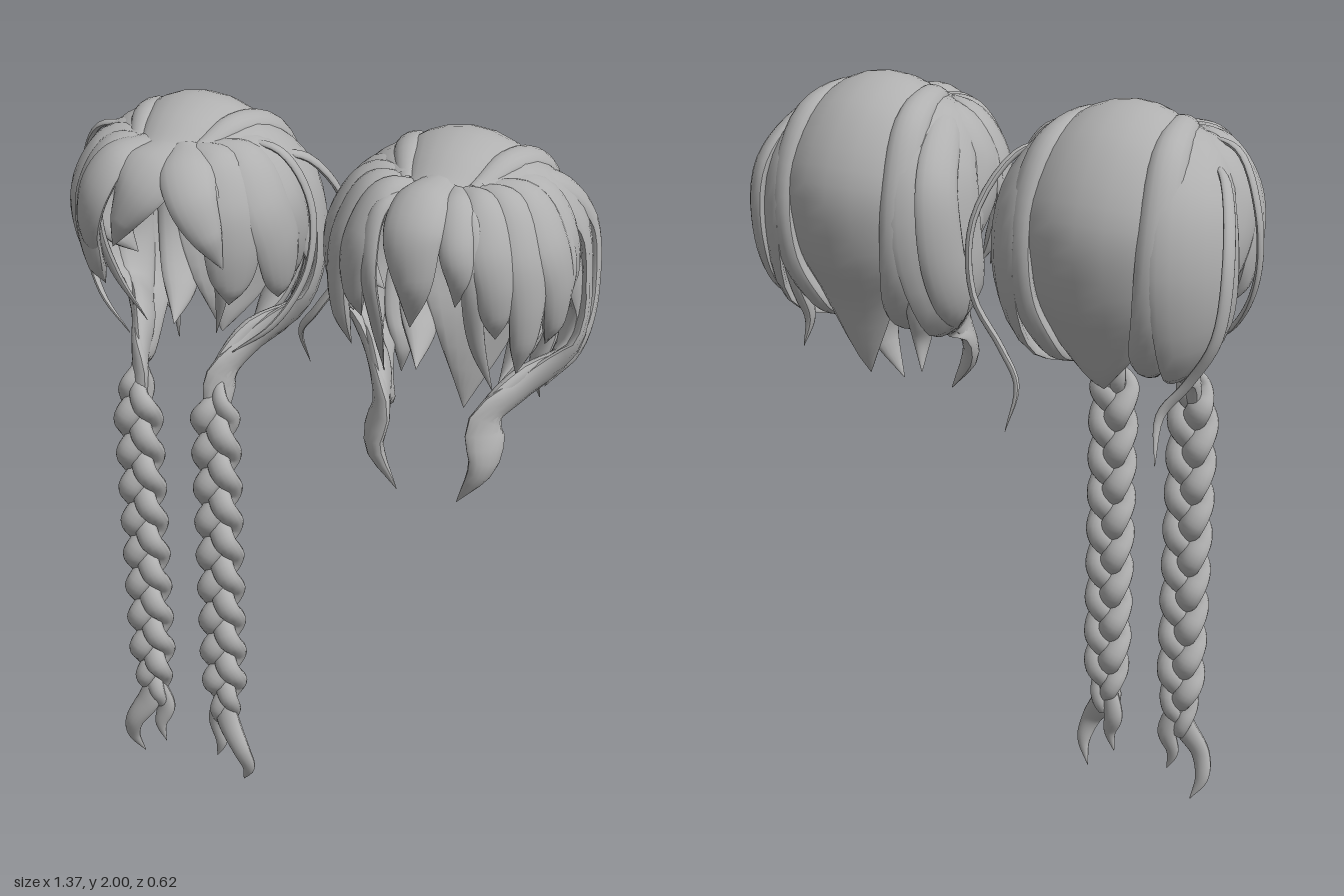
import * as THREE from 'three';

const hairMat = new THREE.MeshStandardMaterial({ color: 0xb0b0b0, side: THREE.DoubleSide });
hairMat.name = 'grey hair';

const V = (p) => new THREE.Vector3(...p);
const mirror = (pts) => pts.map(([x, y, z]) => [-x, y, z]);

// Tapered lock with a lens section, bent round the head, crisp along both edges
function lock(name, pts, widths, { thick = 0.022, round = 0, out = null, segs = 30 } = {}) {
  const path = new THREE.CatmullRomCurve3(pts.map(V));
  const width = new THREE.CatmullRomCurve3(widths.map((w, i) => new THREE.Vector3(w, i, 0)));
  const M = 8, pos = [], index = [];
  const up = new THREE.Vector3(), side = new THREE.Vector3(), n = new THREE.Vector3();
  for (const half of [0, 1]) {
    const base = pos.length / 3;
    for (let i = 0; i <= segs; i++) {
      const u = i / segs, p = path.getPoint(u), t = path.getTangent(u);
      const w = Math.max(width.getPoint(u).x, 0.001);
      const d = round ? w * round : Math.min(thick, w * 0.6);
      if (out) up.copy(out);
      else up.set(p.x, Math.max(p.y - 1.65, -0.08), p.z + 0.02);
      side.crossVectors(t, up).normalize();
      n.crossVectors(side, t);
      for (let j = 0; j <= M; j++) {
        const a = Math.PI * (half + j / M);
        const s = w * Math.cos(a);
        const h = d * Math.sin(a) - (round ? 0 : s * s / 0.6);
        const q = p.clone().addScaledVector(side, s).addScaledVector(n, h);
        pos.push(q.x, q.y, q.z);
        if (i < segs && j < M) {
          const k = base + i * (M + 1) + j, l = k + M + 1;
          index.push(k, l, k + 1, l, l + 1, k + 1);
        }
      }
    }
  }
  const g = new THREE.BufferGeometry();
  g.setAttribute('position', new THREE.Float32BufferAttribute(pos, 3));
  g.setIndex(index);
  g.computeVertexNormals();
  const mesh = new THREE.Mesh(g, hairMat);
  mesh.name = name;
  return mesh;
}

// The same lock on both sides of the head
function pair(group, name, pts, widths, opts) {
  group.add(lock(name + 'Left', pts, widths, opts));
  group.add(lock(name + 'Right', mirror(pts), widths, opts));
}

// Lock that springs from the parting, puffs out and hangs at an angle from the front
function puff(deg, tip, rx = 0.285, rz = 0.24, sweep = 0) {
  const a = THREE.MathUtils.degToRad(deg), drop = 1.88 - tip;
  const at = (r, y, da = 0) => [r * rx * Math.sin(a + da), y, 0.02 + r * rz * Math.cos(a + da)];
  return [
    [0.08 * Math.sin(a), 1.905, 0.09 + 0.04 * Math.cos(a)],
    at(0.72, 1.893), at(0.95, 1.87 - drop * 0.2), at(1, 1.88 - drop * 0.5, sweep * 0.3),
    at(0.95, 1.88 - drop * 0.78, sweep * 0.6), at(0.85, tip, sweep),
  ];
}

// Three-strand braid with a curled end
function braid(name, s) {
  const g = new THREE.Group();
  g.name = name;
  const top = 1.31, bottom = 0.2, period = 0.32, N = 40;
  for (let k = 0; k < 3; k++) {
    const pts = [], widths = [];
    for (let i = 0; i <= N; i++) {
      const y = top + (bottom - top) * i / N;
      const f = 2 * Math.PI * ((top - y) / period + k / 3);
      const taper = i > N - 6 ? 1 - (i - N + 6) * 0.08 : Math.min(1, 0.35 + i * 0.16);
      pts.push([s * (0.115 + 0.034 * taper * Math.sin(f)), y, 0.14 - Math.max(0, y - 1.24) * 0.4 + 0.022 * taper * Math.sin(2 * f)]);
      widths.push(0.034 * taper);
    }
    g.add(lock('braidStrand', pts, widths, { round: 0.75, out: new THREE.Vector3(0, 0, 1), segs: 150 }));
  }
  const end = { round: 0.7, out: new THREE.Vector3(0, 0, 1) };
  g.add(lock('braidCurl', [[s * 0.11, 0.3, 0.14], [s * 0.13, 0.22, 0.15], [s * 0.175, 0.14, 0.165],
    [s * 0.19, 0.07, 0.15], [s * 0.165, 0, 0.13]], [0.025, 0.035, 0.028, 0.02, 0.001], end));
  g.add(lock('braidTuft', [[s * 0.11, 0.3, 0.14], [s * 0.085, 0.2, 0.13], [s * 0.1, 0.13, 0.14],
    [s * 0.085, 0.07, 0.14]], [0.02, 0.028, 0.018, 0.001], end));
  return g;
}

// Crown and back locks; hem is the half width at the nape, the side locks finish in the given front tails
function backHair(g, tipY, hem, tail, tailWidths) {
  g.add(lock('backCentre', [[0, 1.91, 0.13], [0, 1.955, 0.05], [0, 1.976, -0.06], [0, 1.91, -0.19],
    [0, 1.75, -0.283], [0, 1.57, -0.265], [0, 1.43, -0.2], [0, tipY, -0.14]],
    [0.08, 0.1, 0.135, 0.16, 0.18, 0.175, 0.11, 0.001]));
  pair(g, 'crownStrip', [[0.085, 1.91, 0.12], [0.125, 1.945, 0], [0.16, 1.9, -0.15], [0.18, 1.74, -0.235],
    [0.175, 1.55, -0.235], [0.14, 1.42, -0.17], [0.11, 1.34, -0.07]],
    [0.02, 0.035, 0.045, 0.05, 0.055, 0.05, 0.001], { thick: 0.028 });
  pair(g, 'backCorner', [[0.095, 1.905, 0.11], [0.18, 1.91, -0.03], [0.245, 1.8, -0.16], [0.265, 1.62, -0.19],
    [hem, 1.44, -0.13], [hem - 0.08, 1.37, 0], ...tail], [0.04, 0.085, 0.11, 0.12, 0.1, 0.062, ...tailWidths]);
  pair(g, 'sideSweep', [[0.1, 1.905, 0.1], [0.215, 1.86, 0.01], [0.262, 1.74, -0.07], [0.268, 1.57, -0.15],
    [hem - 0.01, 1.44, -0.1], [hem - 0.09, 1.4, 0.02], ...tail],
    [0.04, 0.08, 0.095, 0.07, 0.05, 0.042, ...tailWidths.map((w) => w * 0.8)]);
}

function braidedWig() {
  const g = new THREE.Group();
  g.name = 'braidedWig';
  backHair(g, 1.31, 0.24, [[0.122, 1.31, 0.1], [0.115, 1.2, 0.135]], [0.052, 0.03]);
  // Fringe
  g.add(lock('fringeSwept', [[0.01, 1.91, 0.12], [0, 1.89, 0.2], [-0.02, 1.84, 0.245], [-0.06, 1.76, 0.255],
    [-0.1, 1.68, 0.24]], [0.07, 0.095, 0.075, 0.04, 0.001]));
  g.add(lock('fringeSide', [[0.05, 1.91, 0.12], [0.09, 1.89, 0.2], [0.13, 1.83, 0.25], [0.165, 1.75, 0.25],
    [0.19, 1.66, 0.22]], [0.04, 0.065, 0.06, 0.04, 0.001]));
  g.add(lock('fringeOuter', [[-0.05, 1.91, 0.12], [-0.11, 1.89, 0.19], [-0.15, 1.82, 0.23], [-0.175, 1.72, 0.225],
    [-0.17, 1.6, 0.18]], [0.04, 0.06, 0.065, 0.05, 0.001]));
  // Puffed locks over the temples and ears
  const w = [0.025, 0.06, 0.075, 0.075, 0.055, 0.001];
  pair(g, 'templePuff', puff(46, 1.54), w);
  pair(g, 'earPuff', puff(68, 1.52, 0.29, 0.24, 0.35), w);
  pair(g, 'rearPuff', puff(90, 1.53, 0.285, 0.24, 0.5), w);
  pair(g, 'innerStrand', [[0.08, 1.9, 0.13], [0.15, 1.85, 0.2], [0.165, 1.72, 0.2], [0.15, 1.57, 0.15],
    [0.1, 1.42, 0.09]], [0.01, 0.025, 0.025, 0.018, 0.001]);
  // Loose thin strands
  pair(g, 'looseStrand', [[0.12, 1.92, 0.03], [0.25, 1.9, 0.015], [0.32, 1.77, -0.01], [0.32, 1.6, 0.01],
    [0.25, 1.46, 0.06], [0.15, 1.38, 0.1]], [0.006, 0.013, 0.014, 0.014, 0.012, 0.002], { thick: 0.008 });
  pair(g, 'longLooseStrand', [[0.2, 1.88, -0.02], [0.275, 1.85, -0.1], [0.335, 1.7, -0.2], [0.325, 1.52, -0.22],
    [0.25, 1.39, -0.21], [0.195, 1.31, -0.23], [0.205, 1.2, -0.27]],
    [0.006, 0.015, 0.017, 0.017, 0.015, 0.012, 0.001], { thick: 0.009 });
  g.add(braid('braidLeft', 1), braid('braidRight', -1));
  g.position.x = -0.338;
  return g;
}

function shortWig() {
  const g = new THREE.Group();
  g.name = 'shortWig';
  backHair(g, 1.22, 0.265, [[0.14, 1.33, 0.09], [0.145, 1.22, 0.13], [0.08, 1.1, 0.13]], [0.065, 0.042, 0.001]);
  // Outer lock standing proud of the back corner
  pair(g, 'cornerLock', [[0.12, 1.905, 0.08], [0.21, 1.885, -0.08], [0.265, 1.77, -0.205], [0.283, 1.6, -0.215],
    [0.28, 1.46, -0.16], [0.23, 1.36, -0.07]], [0.02, 0.045, 0.055, 0.06, 0.05, 0.001]);
  // Fringe
  g.add(lock('fringeCentre', [[0, 1.91, 0.12], [-0.01, 1.9, 0.21], [-0.01, 1.84, 0.275], [0, 1.73, 0.285],
    [-0.015, 1.61, 0.25]], [0.05, 0.07, 0.07, 0.045, 0.001], { thick: 0.028 }));
  g.add(lock('fringeSide', [[0.04, 1.91, 0.12], [0.07, 1.89, 0.2], [0.09, 1.82, 0.255], [0.1, 1.75, 0.255],
    [0.085, 1.67, 0.23]], [0.02, 0.04, 0.04, 0.03, 0.001]));
  // Pointed locks over the temples and ears
  const w = [0.02, 0.045, 0.055, 0.05, 0.035, 0.001];
  pair(g, 'templeLock', puff(36, 1.58, 0.28, 0.25, 0.15), w);
  pair(g, 'cheekLock', puff(54, 1.48, 0.285, 0.25, 0.1), w);
  pair(g, 'earLock', puff(72, 1.52, 0.29, 0.25, 0.3), w.map((v) => v * 1.15));
  pair(g, 'rearLock', puff(92, 1.54, 0.285, 0.25, 0.5), w.map((v) => v * 1.3));
  pair(g, 'longStrand', [[0.05, 1.91, 0.13], [0.11, 1.87, 0.21], [0.125, 1.74, 0.24], [0.125, 1.57, 0.18],
    [0.14, 1.4, 0.08]], [0.01, 0.022, 0.025, 0.02, 0.001]);
  pair(g, 'looseStrand', [[0.12, 1.92, 0.05], [0.23, 1.885, 0.03], [0.295, 1.75, 0.03], [0.29, 1.64, 0.04],
    [0.26, 1.54, 0.05]], [0.008, 0.015, 0.018, 0.015, 0.001]);
  // Flicked ends at the nape
  pair(g, 'napeFlick', [[0.22, 1.62, -0.22], [0.2, 1.45, -0.18], [0.18, 1.35, -0.16], [0.19, 1.27, -0.18]],
    [0.03, 0.045, 0.025, 0.001]);
  g.position.x = 0.36;
  return g;
}

export function createModel() {
  const model = new THREE.Group();
  model.name = 'wigPair';
  model.add(braidedWig(), shortWig());
  return model;
}
